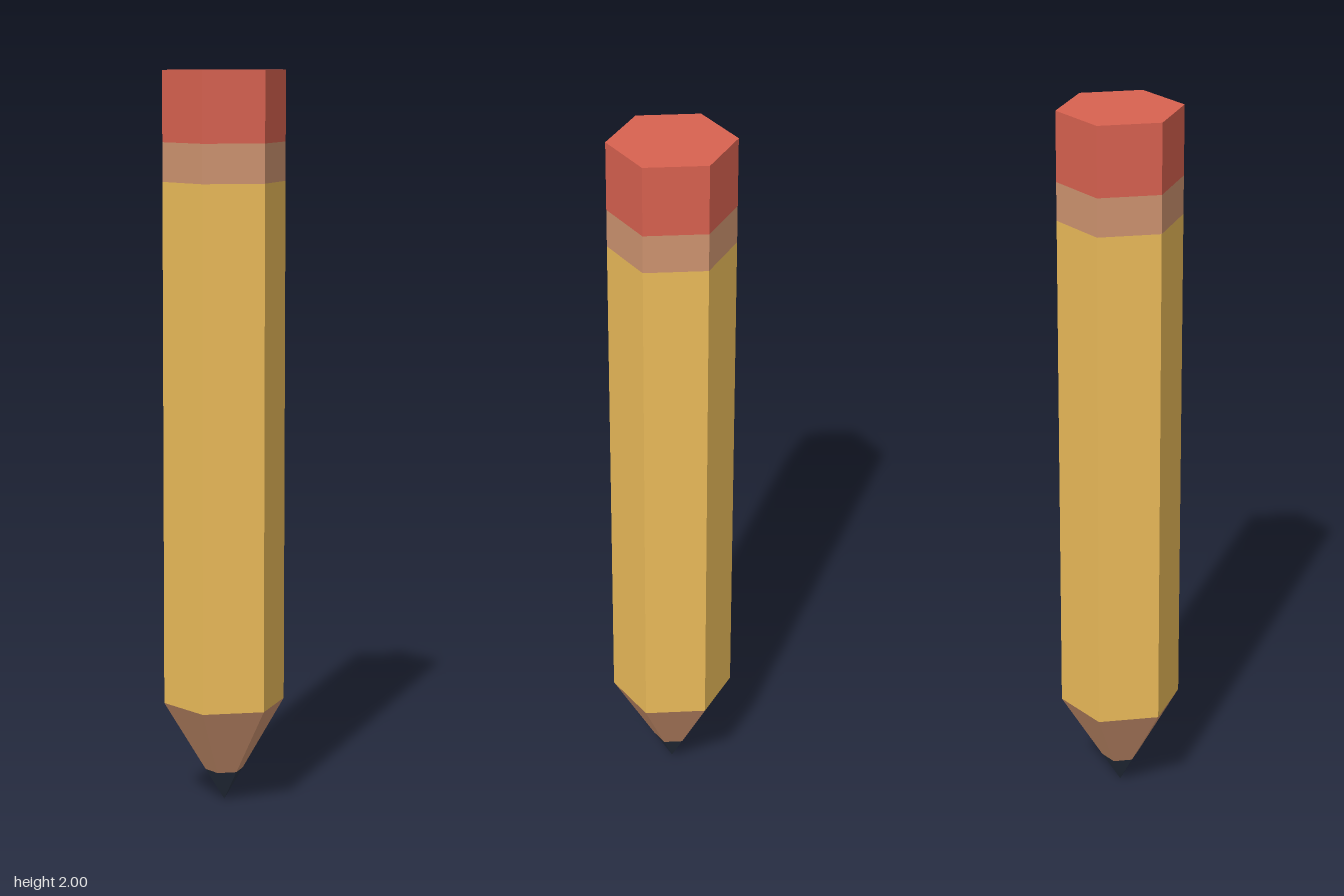
import * as THREE from 'three';

const RADIUS = 0.167; // corner radius of the hexagon
const TAPER = 0.28; // height at which the sharpened cone starts
const LEAD = 0.087; // height of the lead tip

// Hexagonal section between two heights, with corners on the x axis
function section(name, y0, y1, r0, r1, color, open = true) {
  const geometry = new THREE.CylinderGeometry(r1, r0, y1 - y0, 6, 1, open, Math.PI / 2);
  geometry.translate(0, (y0 + y1) / 2, 0);
  const material = new THREE.MeshStandardMaterial({ color, flatShading: true });
  if (open) material.side = THREE.DoubleSide;
  const mesh = new THREE.Mesh(geometry, material);
  mesh.name = name;
  return mesh;
}

export function createModel() {
  const pencil = new THREE.Group();
  pencil.name = 'pencil';
  const leadRadius = (RADIUS * LEAD) / TAPER;

  pencil.add(
    // Sharpened end
    section('leadTip', 0, LEAD, 0, leadRadius, 0x2a3444),
    section('sharpenedWood', LEAD, TAPER, leadRadius, RADIUS, 0xcf9470),
    // Painted barrel
    section('barrel', TAPER, 1.705, RADIUS, RADIUS, 0xecbc5a),
    // Band and eraser, closed at the top
    section('band', 1.705, 1.81, RADIUS, RADIUS, 0xcf9470),
    section('eraser', 1.81, 2, RADIUS, RADIUS, 0xd96250, false),
  );
  return pencil;
}
